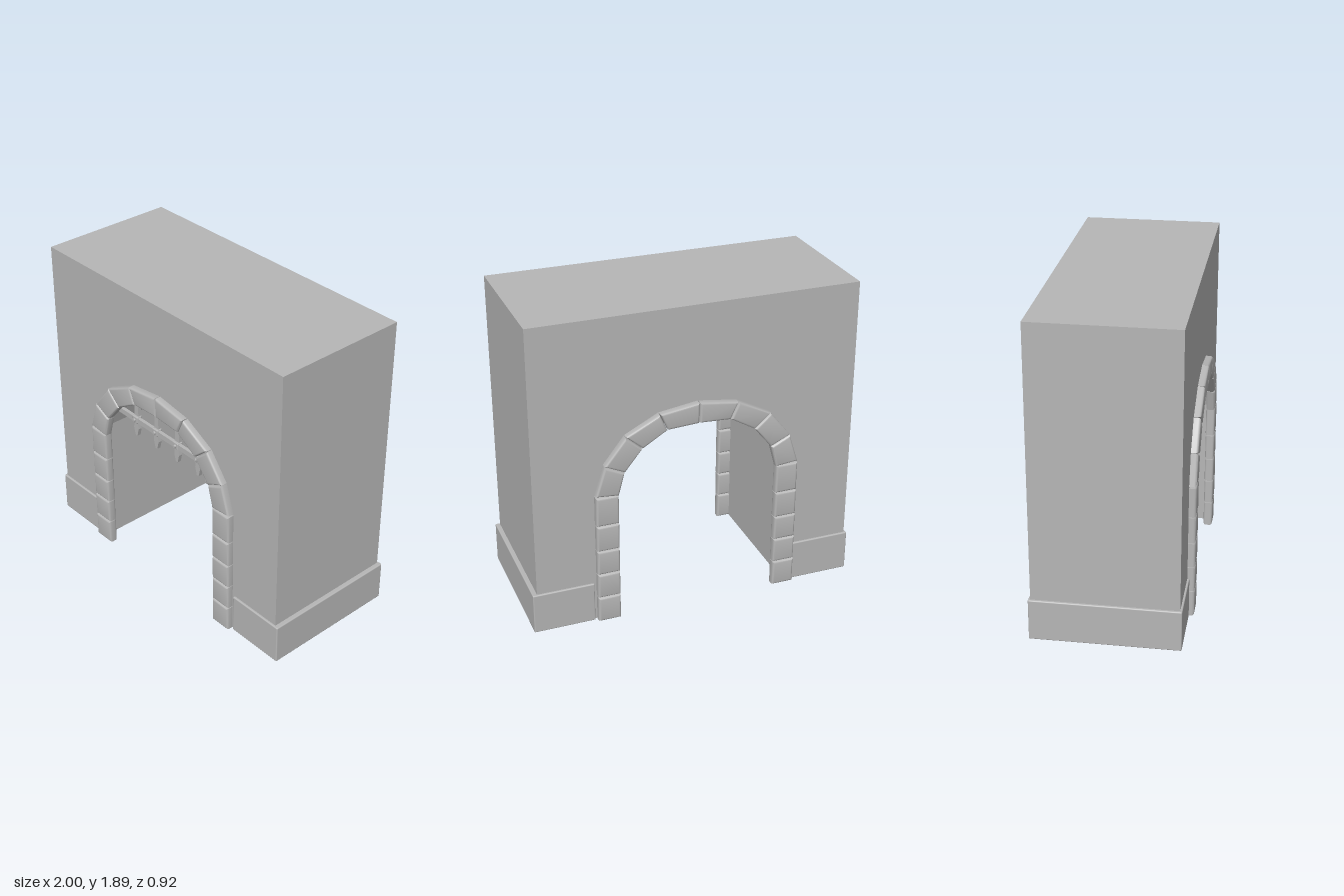
import * as THREE from 'three';
import { toCreasedNormals } from 'three/addons/utils/BufferGeometryUtils.js';
import { RoundedBoxGeometry } from 'three/addons/geometries/RoundedBoxGeometry.js';

const stoneGrey = new THREE.MeshStandardMaterial({ color: 0xb6b6b6 });
stoneGrey.name = 'stoneGrey';

function add(parent, name, geometry, x = 0, y = 0, z = 0) {
  const mesh = new THREE.Mesh(geometry, stoneGrey);
  mesh.name = name;
  mesh.position.set(x, y, z);
  parent.add(mesh);
  return mesh;
}

const toShape = (pts) => new THREE.Shape(pts.map(([x, y]) => new THREE.Vector2(x, y)));

// Bevelled block with the given face outline, centred on z = 0
function blockGeometry(pts, thickness) {
  const bevel = 0.014;
  const geometry = new THREE.ExtrudeGeometry(toShape(pts), {
    depth: thickness - 2 * bevel,
    bevelThickness: bevel,
    bevelSize: bevel,
    bevelOffset: -bevel - 0.002,
    bevelSegments: 3,
  });
  geometry.translate(0, 0, bevel - thickness / 2);
  return toCreasedNormals(geometry, 0.7);
}

// Wall with a faceted arched passage
function buildWall(parent) {
  const half = [[0.565, 0.004], [0.565, 0.82], [0.515, 0.99], [0.4, 1.13], [0.22, 1.235]];
  const opening = [...half, [0, 1.255], ...half.map(([x, y]) => [-x, y]).reverse()];
  const outline = [[0.978, 0.004], [0.978, 1.89], [-0.978, 1.89], [-0.978, 0.004], ...opening.slice().reverse()];
  const geometry = new THREE.ExtrudeGeometry(toShape(outline), { depth: 0.84, bevelEnabled: false });
  geometry.translate(0, 0, -0.42);
  add(parent, 'wall', geometry);
}

// Stone surround on the front and back of the passage
function buildSurround(parent) {
  const courses = [0, 0.163, 0.32, 0.475, 0.64, 0.825];
  const outer = [[0.623, 0.832], [0.567, 1.015], [0.44, 1.178], [0.237, 1.283], [0, 1.317]];
  const inner = [[0.483, 0.818], [0.446, 0.957], [0.34, 1.088], [0.19, 1.178], [0, 1.188]];
  const outlines = [];
  for (let i = 0; i < 5; i++) {
    const [a, b] = [courses[i], courses[i + 1]];
    outlines.push([[0.483, a], [0.623, a], [0.623, b], [0.483, b]]);
  }
  for (let i = 0; i < 4; i++) {
    outlines.push([inner[i], outer[i], outer[i + 1], inner[i + 1]]);
  }
  const thickness = 0.055;
  for (const side of [1, -1]) {
    for (const outline of outlines) {
      const geometry = blockGeometry(outline.map(([x, y]) => [side * x, y]), thickness);
      for (const face of [1, -1]) {
        add(parent, face > 0 ? 'frontArchStone' : 'backArchStone', geometry, 0, 0, face * (0.462 - thickness / 2));
      }
    }
  }
}

// Raised gate of crossed bars with pointed feet
function buildPortcullis(parent) {
  const gate = new THREE.Group();
  gate.name = 'portcullis';
  gate.position.z = 0.3;
  parent.add(gate);

  const rails = [[0.935, 1.1], [1.095, 0.92]];
  for (const [y, length] of rails) {
    add(gate, 'crossBar', new THREE.BoxGeometry(length, 0.034, 0.022), 0, y, 0.008);
  }

  const rivet = new THREE.CylinderGeometry(0.009, 0.011, 0.014, 10).rotateX(Math.PI / 2);
  const plate = new RoundedBoxGeometry(0.046, 0.046, 0.04, 2, 0.006);
  const spike = new THREE.ExtrudeGeometry(
    toShape([[-0.016, 0.92], [-0.021, 0.87], [-0.008, 0.818], [0.008, 0.818], [0.021, 0.87], [0.016, 0.92]]),
    { depth: 0.024, bevelEnabled: false },
  );
  spike.translate(0, 0, -0.012);

  for (let i = -2; i <= 2; i++) {
    const x = i * 0.1875;
    const top = [1.24, 1.22, 1.14][Math.abs(i)];
    add(gate, 'uprightBar', new THREE.BoxGeometry(0.034, top - 0.9, 0.022), x, (top + 0.9) / 2, -0.004);
    add(gate, 'spike', spike, x, 0, 0);
    for (const [y] of rails) {
      add(gate, 'jointPlate', plate, x, y, 0.002);
      add(gate, 'rivet', rivet, x, y, 0.026);
    }
  }
}

export function createModel() {
  const model = new THREE.Group();
  model.name = 'gatehouse';

  const masonry = new THREE.Group();
  masonry.name = 'masonry';
  masonry.position.x = -0.007;
  model.add(masonry);
  buildWall(masonry);
  buildSurround(masonry);

  // Plinths either side of the passage
  const plinth = new RoundedBoxGeometry(0.37, 0.25, 0.865, 2, 0.007);
  add(model, 'leftPlinth', plinth, 0.813, 0.125, 0);
  add(model, 'rightPlinth', plinth, -0.815, 0.125, 0);

  buildPortcullis(model);
  return model;
}
